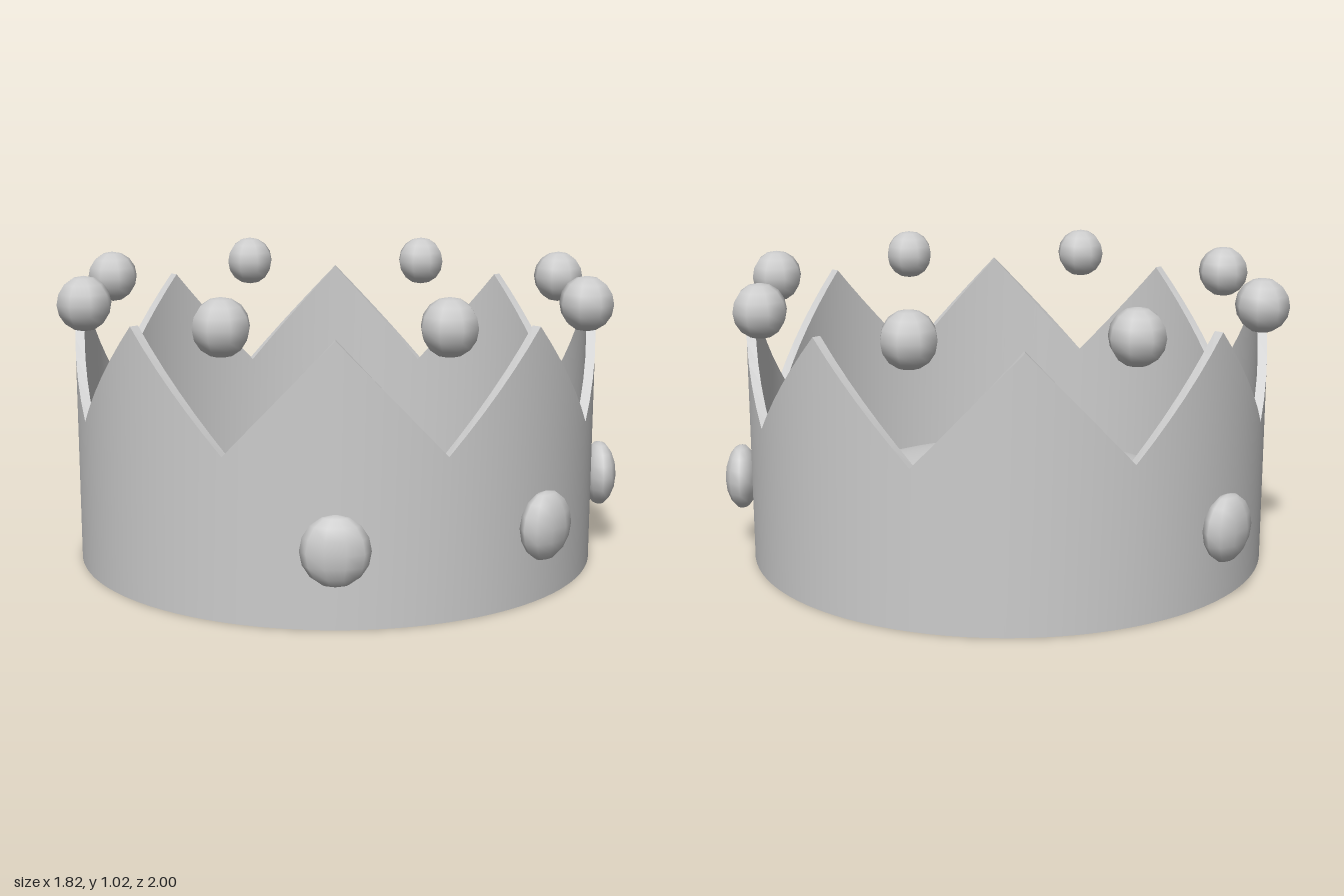
import * as THREE from 'three';

const OUTER = 0.905, INNER = 0.873, TIP = 0.9, VALLEY = 0.53;
const POINTS = 8, SEGMENTS = 96;

// Height of the zigzag rim at an angle: tips every 45 degrees, valleys halfway between
function rimHeight(angle) {
  const t = (angle / (Math.PI * 2)) * POINTS;
  const fromTip = Math.abs(t - Math.round(t)) * 2;
  return TIP + (VALLEY - TIP) * fromTip;
}

// Closed strip between two rings, each given as angle -> [radius, height]
function ringStrip(lower, upper) {
  const positions = [], index = [];
  for (let i = 0; i < SEGMENTS; i++) {
    const a = (i / SEGMENTS) * Math.PI * 2;
    for (const [r, y] of [lower(a), upper(a)]) {
      positions.push(Math.sin(a) * r, y, Math.cos(a) * r);
    }
    const p = i * 2, q = ((i + 1) % SEGMENTS) * 2;
    index.push(p, q, q + 1, p, q + 1, p + 1);
  }
  const geometry = new THREE.BufferGeometry();
  geometry.setAttribute('position', new THREE.Float32BufferAttribute(positions, 3));
  geometry.setIndex(index);
  geometry.computeVertexNormals();
  return geometry;
}

export function createModel() {
  const crown = new THREE.Group();
  crown.name = 'crown';
  const grey = new THREE.MeshStandardMaterial({ color: 0xcccccc });
  grey.name = 'light grey';

  const add = (name, geometry) => {
    const mesh = new THREE.Mesh(geometry, grey);
    mesh.name = name;
    crown.add(mesh);
    return mesh;
  };

  // Band with pointed rim: outer wall, inner wall and the edge joining them
  const outerRim = (a) => [OUTER, rimHeight(a)];
  const innerRim = (a) => [INNER, rimHeight(a)];
  add('outerWall', ringStrip(() => [OUTER, 0], outerRim));
  add('innerWall', ringStrip(innerRim, () => [INNER, 0]));
  const edge = ringStrip(outerRim, innerRim).toNonIndexed();
  edge.computeVertexNormals();
  add('rimEdge', edge);

  // Closed underside
  const base = add('base', new THREE.CircleGeometry(OUTER, SEGMENTS));
  base.rotation.x = Math.PI / 2;

  // Low cushion dome inside the band
  const dome = new THREE.SphereGeometry(INNER, 48, 12, 0, Math.PI * 2, 0, Math.PI / 2);
  dome.scale(1, 0.31 / INNER, 1);
  add('cushion', dome);

  // Balls floating above each valley
  const ball = new THREE.SphereGeometry(0.092, 8, 8);
  for (let i = 0; i < POINTS; i++) {
    const a = ((i + 0.5) / POINTS) * Math.PI * 2;
    const mesh = add('ball', ball);
    mesh.position.set(Math.sin(a) * 0.895, 0.928, Math.cos(a) * 0.895);
    mesh.rotation.y = a;
  }

  // Flattened gems on the front, front diagonals and back
  const gem = new THREE.SphereGeometry(1, 10, 8);
  gem.scale(0.11, 0.114, 0.058);
  for (const a of [0, Math.PI / 4, -Math.PI / 4, Math.PI]) {
    const mesh = add('gem', gem);
    mesh.position.set(Math.sin(a) * 0.945, 0.266, Math.cos(a) * 0.945);
    mesh.rotation.y = a;
  }

  return crown;
}
